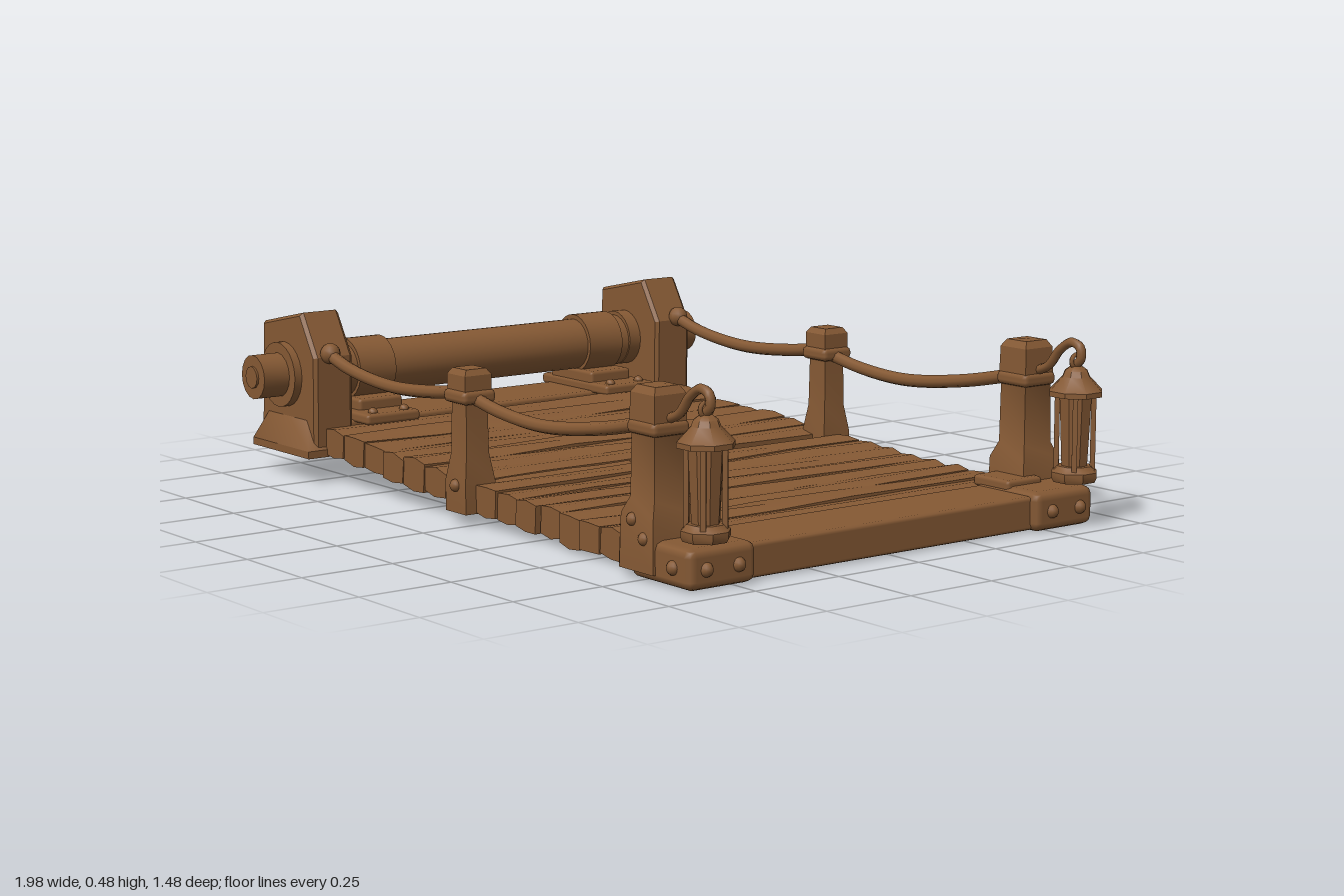
import * as THREE from 'three';
import { toCreasedNormals } from 'three/addons/utils/BufferGeometryUtils.js';
import { RoundedBoxGeometry } from 'three/addons/geometries/RoundedBoxGeometry.js';

const wood = new THREE.MeshStandardMaterial({ color: 0x855934 });
wood.name = 'brown wood';

let seed = 7;
const rand = () => (seed = (seed * 16807) % 2147483647) / 2147483647 - 0.5;

function add(parent, name, geo, x = 0, y = 0, z = 0) {
  const m = new THREE.Mesh(geo, wood);
  m.name = name;
  m.position.set(x, y, z);
  parent.add(m);
  return m;
}
const crease = (g, a = 0.6) => toCreasedNormals(g, a);
const block = (w, h, d, r = 0.01) => new RoundedBoxGeometry(w, h, d, 1, r);

// Turned or many-sided shape from [radius, height] pairs
const turned = (pts, sides, start = 0, a = 0.6) =>
  crease(new THREE.LatheGeometry(pts.map(p => new THREE.Vector2(...p)), sides, start), a);
// Square tapered shape from [half width, height] pairs
const square = pts => turned(pts.map(([w, y]) => [w * Math.SQRT2, y]), 4, Math.PI / 4, 0.4);
// Cylinder lying along z
const roll = (r, len, sides = 24) => crease(new THREE.CylinderGeometry(r, r, len, sides).rotateX(Math.PI / 2));
const tube = (pts, r) => new THREE.TubeGeometry(
  new THREE.CatmullRomCurve3(pts.map(p => new THREE.Vector3(...p))), 28, r, 8);

// Weathered plank with uneven edges, running along z
function plank(w, h, len) {
  const g = new THREE.BoxGeometry(w, h, len, 2, 1, 5);
  const p = g.attributes.position;
  const shift = new Map();
  for (let i = 0; i < p.count; i++) {
    const key = [p.getX(i), p.getY(i), p.getZ(i)].map(v => v.toFixed(4)).join();
    if (!shift.has(key)) shift.set(key, [rand() * 0.004, rand() * 0.008]);
    const [dx, dy] = shift.get(key);
    const edge = Math.abs(p.getX(i)) > w * 0.4 ? 0.86 : 1;
    p.setXYZ(i, p.getX(i) + dx, p.getY(i) * edge + dy, p.getZ(i));
  }
  return crease(g, 0.35);
}

// Deck height follows a gentle sagging slope
const deckY = x => 0.078 - 0.049 * x + 0.02 * x * x;
function buildDeck(root) {
  const deck = new THREE.Group();
  deck.name = 'deck';
  for (const [from, to, n] of [[-0.72, -0.04, 7], [0.006, 0.262, 3], [0.272, 0.695, 5]]) {
    const step = (to - from) / n;
    for (let i = 0; i < n; i++) {
      const x = from + step * (i + 0.5);
      const m = add(deck, 'plank', plank(step - 0.001, 0.08 + rand() * 0.008, 1.19 + rand() * 0.025), x, deckY(x) + rand() * 0.005, rand() * 0.008);
      m.rotation.z = Math.atan(-0.049 + 0.04 * x) + rand() * 0.03;
    }
  }
  // Narrow split board
  add(deck, 'splitBoardFront', plank(0.03, 0.075, 0.49), -0.015, deckY(0), 0.35);
  add(deck, 'splitBoardBack', plank(0.03, 0.025, 0.69), -0.015, 0.055, -0.245);
  root.add(deck);
}

function buildLantern(parent, z) {
  const lantern = new THREE.Group();
  lantern.name = 'lantern';
  lantern.position.set(0.918, 0, z);
  const turn = Math.PI / 8;
  add(lantern, 'lanternRoof', turned([[0, 0.335], [0.07, 0.342], [0.07, 0.355], [0.036, 0.39], [0.03, 0.405], [0.016, 0.415], [0, 0.42]], 8, turn));
  add(lantern, 'lanternBase', turned([[0, 0.125], [0.055, 0.125], [0.06, 0.135], [0.06, 0.15], [0.045, 0.165], [0, 0.168]], 8, turn));
  add(lantern, 'lanternGlass', turned([[0.034, 0.16], [0.043, 0.345]], 8, turn));
  for (let i = 0; i < 4; i++) {
    const a = Math.PI / 4 + i * Math.PI / 2;
    const bar = add(lantern, 'lanternBar', new THREE.BoxGeometry(0.013, 0.19, 0.013), 0.045 * Math.sin(a), 0.25, 0.045 * Math.cos(a));
    bar.rotation.y = a;
  }
  add(lantern, 'lanternRing', new THREE.TorusGeometry(0.017, 0.006, 6, 14).rotateY(Math.PI / 2), 0, 0.428, 0);
  parent.add(lantern);
  add(parent, 'lanternHook', tube([[0.77, 0.385, z], [0.82, 0.405, z], [0.86, 0.45, z], [0.9, 0.473, z], [0.93, 0.463, z], [0.933, 0.435, z], [0.918, 0.42, z]], 0.012));
}

// Everything along one long edge; s is +1 at the front, -1 at the back
function buildSide(root, s) {
  const side = new THREE.Group();
  side.name = s > 0 ? 'frontSide' : 'backSide';
  const z = s * 0.587;

  // Winch housing with splayed foot
  const outline = new THREE.Shape([[-0.99, 0.08], [-0.71, 0.08], [-0.705, 0.35], [-0.775, 0.465], [-0.975, 0.422]].map(p => new THREE.Vector2(...p)));
  const housing = new THREE.ExtrudeGeometry(outline, { depth: 0.1, bevelThickness: 0.01, bevelSize: 0.008, bevelOffset: -0.008, bevelSegments: 1 });
  add(side, 'winchHousing', crease(housing, 0.3), 0, 0, s * 0.573 - 0.05);
  const foot = add(side, 'housingFoot', square([[0, 0], [1, 0], [1, 0.02], [0.5, 0.14], [0, 0.14]]), -0.85, 0.08, s * 0.582);
  foot.scale.set(0.145, 1, 0.075);
  add(side, 'outerCollar', roll(0.088, 0.03), -0.86, 0.29, s * 0.64);
  add(side, 'innerCollar', roll(0.078, 0.05), -0.86, 0.29, s * 0.5);
  add(side, 'axleEnd', roll(0.06, 0.1, 16), -0.86, 0.29, s * 0.682);
  add(side, 'axleTip', roll(0.03, 0.008, 12), -0.86, 0.29, s * 0.734);

  // Bearing resting on a stepped pad
  add(side, 'bearing', roll(0.083, 0.115), -0.86, 0.287, s * 0.387);
  add(side, 'bearingPad', block(0.32, 0.03, 0.17), -0.84, 0.17, s * 0.4);
  add(side, 'bearingSaddle', block(0.2, 0.04, 0.14), -0.86, 0.195, s * 0.39);
  for (const x of [-0.97, -0.71]) for (const dz of [-0.05, 0.05])
    add(side, 'padBolt', new THREE.SphereGeometry(0.014, 8, 6), x, 0.185, s * 0.4 + dz);

  // Middle and end posts
  add(side, 'middlePost', square([[0, 0.04], [0.045, 0.04], [0.045, 0.12], [0.034, 0.19], [0.032, 0.32], [0.04, 0.33], [0.04, 0.39], [0.03, 0.405], [0, 0.405]]), -0.038, 0, z);
  add(side, 'endPost', square([[0, 0.03], [0.065, 0.03], [0.062, 0.16], [0.046, 0.2], [0.044, 0.36], [0.048, 0.37], [0.046, 0.445], [0.035, 0.463], [0, 0.465]]), 0.74, 0, z);
  for (const [x, y, w] of [[-0.038, 0.335, 0.1], [0.74, 0.365, 0.11]])
    add(side, 'ropeTie', block(w, 0.036, w, 0.014), x, y, z);
  for (const [x, y, d] of [[-0.038, 0.11, 0.045], [0.72, 0.15, 0.06], [0.765, 0.11, 0.06]])
    add(side, 'postBolt', new THREE.SphereGeometry(0.016, 10, 8), x, y, z + s * d);

  // Sagging ropes
  add(side, 'rope', tube([[-0.72, 0.362, z], [-0.6, 0.33, z], [-0.4, 0.31, z], [-0.2, 0.322, z], [-0.04, 0.345, z]], 0.017));
  add(side, 'rope', tube([[-0.04, 0.335, z], [0.1, 0.31, z], [0.28, 0.3, z], [0.5, 0.325, z], [0.74, 0.375, z]], 0.017));
  add(side, 'ropeKnot', new THREE.SphereGeometry(0.028, 10, 8), -0.7, 0.36, z);

  // Corner shoe of the end beam
  add(side, 'cornerShoe', block(0.23, 0.1, 0.2, 0.022), 0.818, 0.06, s * 0.545);
  add(side, 'shoePad', block(0.13, 0.03, 0.12), 0.76, 0.11, s * 0.51);
  for (const bz of [0.5, 0.595])
    add(side, 'shoeBolt', new THREE.SphereGeometry(0.018, 10, 8), 0.93, 0.06, s * bz);
  add(side, 'shoeBolt', new THREE.SphereGeometry(0.018, 10, 8), 0.87, 0.06, s * 0.643);

  buildLantern(side, z);
  root.add(side);
}

export function createModel() {
  const root = new THREE.Group();
  root.name = 'drawbridge';
  const body = new THREE.Group();
  body.name = 'bridgeBody';
  body.position.z = -0.006;
  root.add(body);
  buildDeck(body);
  add(body, 'winchRoller', roll(0.072, 1.1), -0.86, 0.285, 0);
  add(body, 'winchBeam', block(0.22, 0.08, 1.06), -0.86, 0.122, 0);
  add(body, 'endBeam', block(0.2, 0.085, 0.94), 0.81, 0.056, 0);
  buildSide(body, 1);
  buildSide(body, -1);
  return root;
}
